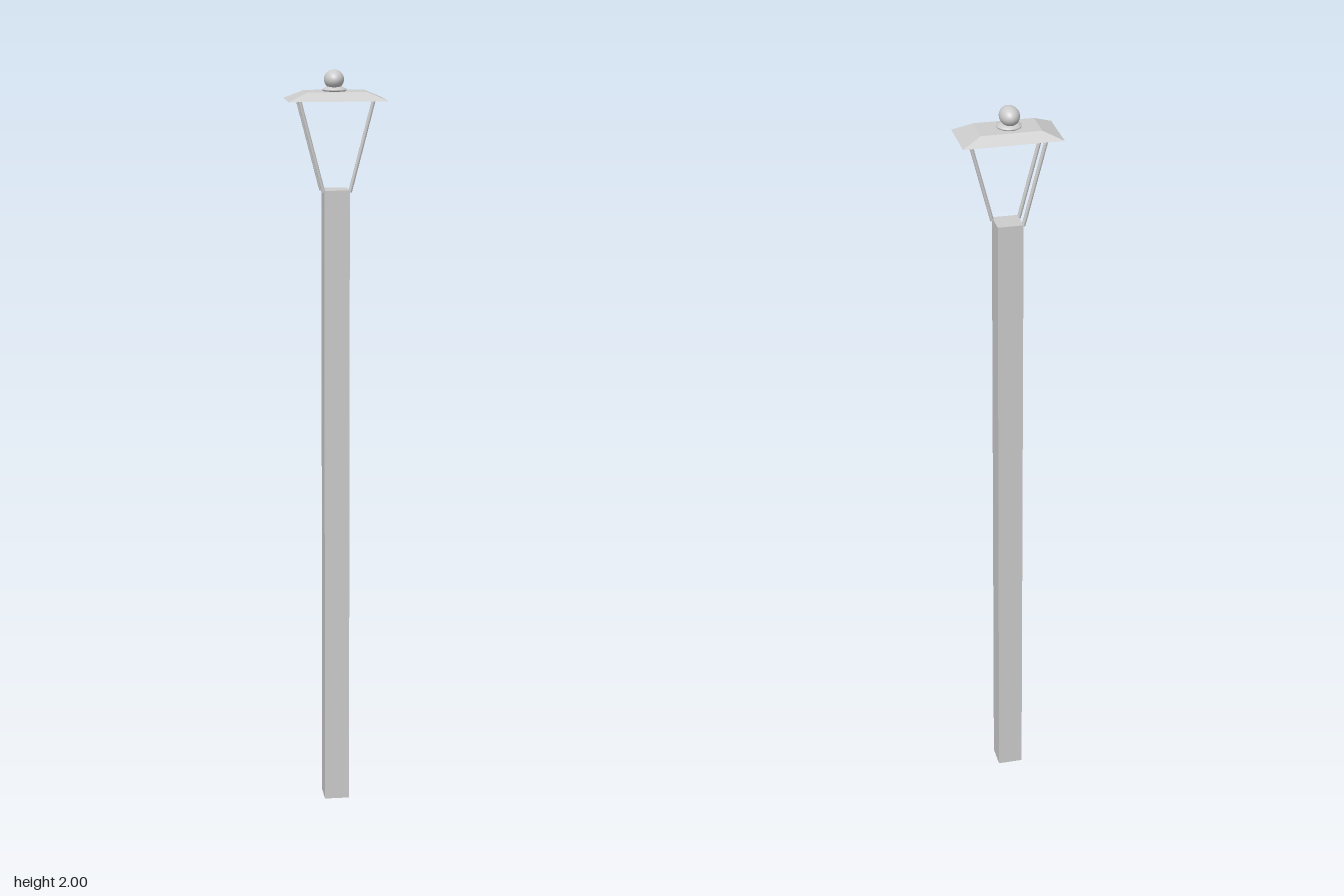
import * as THREE from 'three';

const grey = new THREE.MeshStandardMaterial({ color: 0xcccccc });
const flat = new THREE.MeshStandardMaterial({ color: 0xcccccc, flatShading: true });

export function createModel() {
  const lamp = new THREE.Group();
  lamp.name = 'lampPost';

  const add = (name, geometry, material = flat, x = 0, y = 0, z = 0) => {
    const mesh = new THREE.Mesh(geometry, material);
    mesh.name = name;
    mesh.position.set(x, y, z);
    lamp.add(mesh);
    return mesh;
  };

  // Square post
  add('post', new THREE.BoxGeometry(0.067, 1.69, 0.067), flat, 0, 0.845, 0);

  // Three slanted rods carrying the roof; the back left corner is left open
  const up = new THREE.Vector3(0, 1, 0);
  for (const [sx, sz] of [[-1, 1], [-1, -1], [1, 1]]) {
    const foot = new THREE.Vector3(sx * 0.035, 1.685, sz * 0.025);
    const head = new THREE.Vector3(sx * 0.098, 1.928, sz * 0.025);
    const dir = head.clone().sub(foot);
    const rod = add('rod', new THREE.CylinderGeometry(0.005, 0.005, dir.length(), 10), grey);
    rod.position.copy(foot).add(head).multiplyScalar(0.5);
    rod.quaternion.setFromUnitVectors(up, dir.normalize());
  }

  // Hipped roof: a box whose upper corners are drawn inwards
  const roof = new THREE.BoxGeometry(0.258, 0.022, 0.138);
  const p = roof.attributes.position;
  for (let i = 0; i < p.count; i++) {
    if (p.getY(i) > 0) {
      p.setX(i, Math.sign(p.getX(i)) * 0.078);
      p.setZ(i, Math.sign(p.getZ(i)) * 0.044);
    }
  }
  roof.computeVertexNormals();
  add('roof', roof, flat, 0, 1.934, 0);

  // Ridged collar under the finial
  const collar = [[0, 0], [0.027, 0], [0.032, 0.003], [0.032, 0.006], [0.026, 0.009], [0.02, 0.013], [0, 0.015]]
    .map(([r, y]) => new THREE.Vector2(r, y));
  add('collar', new THREE.LatheGeometry(collar, 32), grey, -0.003, 1.944, 0);

  // Oval finial, longer front to back
  const finial = new THREE.SphereGeometry(1, 32, 20);
  finial.scale(0.026, 0.025, 0.035);
  add('finial', finial, grey, -0.004, 1.975, -0.001);

  return lamp;
}
